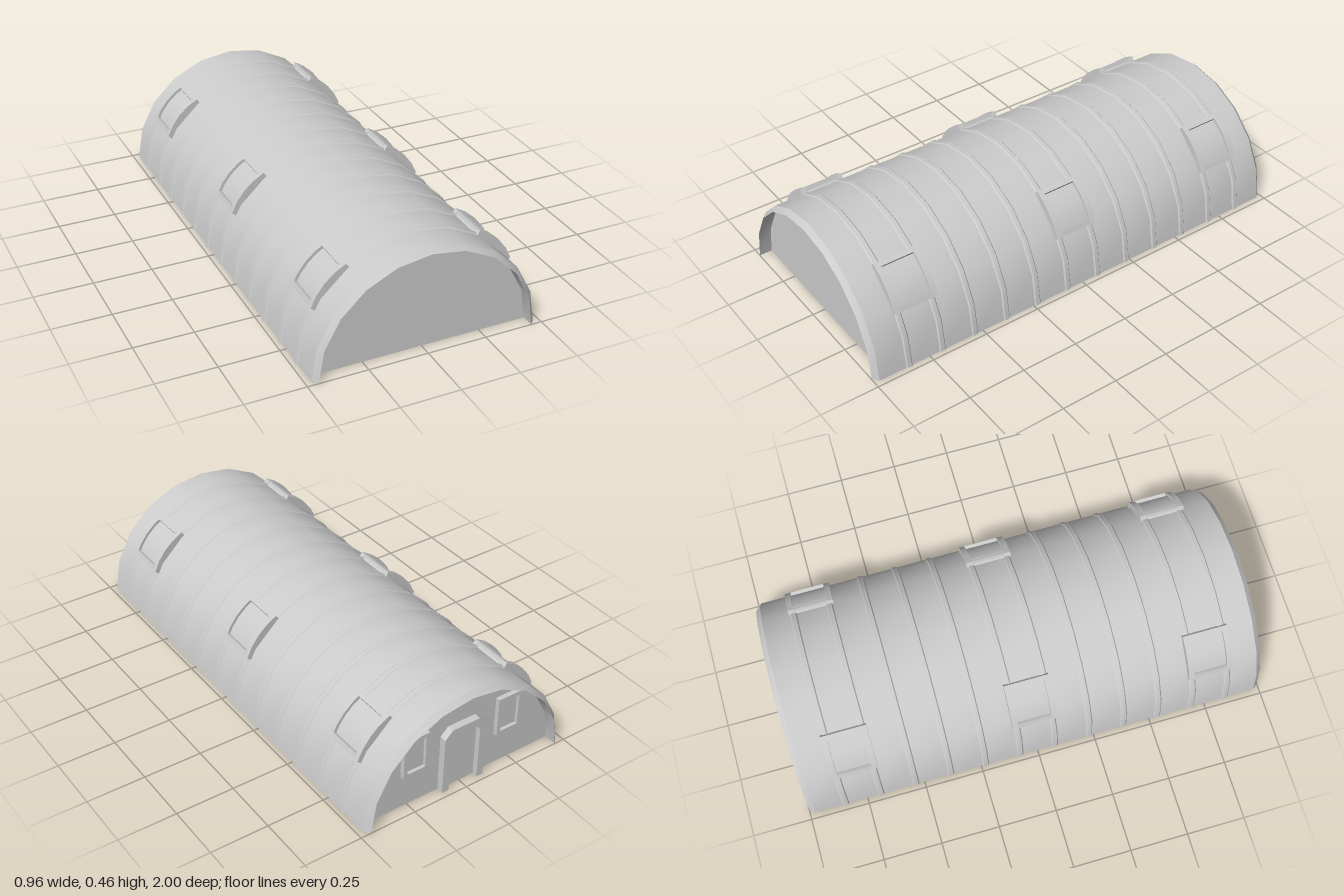
import * as THREE from 'three';
import { mergeGeometries, toCreasedNormals } from 'three/addons/utils/BufferGeometryUtils.js';

const RX = 0.475, RY = 0.456, SIDES = 10, WALL_Z = 0.945, INSET = -0.02;
const solid = new THREE.MeshStandardMaterial({ color: 0xcccccc });
const thin = new THREE.MeshStandardMaterial({ color: 0xcccccc, side: THREE.DoubleSide });

function mesh(name, geometry, material = solid) {
  const m = new THREE.Mesh(geometry, material);
  m.name = name;
  return m;
}

// point on the arched cross-section, pushed out by a given amount
function archPoint(i, offset) {
  const a = (i / SIDES) * Math.PI;
  return [(RX + offset) * Math.cos(a), Math.max(0, (RY + offset) * Math.sin(a))];
}

function polygon(points) {
  return new THREE.Shape(points.map(([x, y]) => new THREE.Vector2(x, y)));
}

function slab(shape, depth, z = 0) {
  const g = new THREE.ExtrudeGeometry(shape, { depth, bevelEnabled: false });
  g.translate(0, 0, z);
  return toCreasedNormals(g, 0.4);
}

// one strip of the shell: smooth around the arch, sharp along its length
function archStrip([o0, z0], [o1, z1]) {
  const pos = [], index = [];
  for (let i = 0; i <= SIDES; i++) {
    pos.push(...archPoint(i, o0), z0, ...archPoint(i, o1), z1);
    if (i < SIDES) {
      const a = i * 2;
      index.push(a, a + 2, a + 1, a + 2, a + 3, a + 1);
    }
  }
  const g = new THREE.BufferGeometry();
  g.setAttribute('position', new THREE.Float32BufferAttribute(pos, 3));
  g.setIndex(index);
  g.computeVertexNormals();
  return g;
}

// shell with returned, chamfered rims and twelve raised ribs
function makeShell() {
  const profile = [[INSET, -WALL_Z], [INSET, -1], [0, -0.978]];
  for (let k = 0; k < 12; k++) {
    const z = (k - 5.5) * 0.1535;
    profile.push([0, z - 0.014], [0.005, z - 0.009], [0.005, z + 0.009], [0, z + 0.014]);
  }
  profile.push([0, 0.978], [INSET, 1], [INSET, WALL_Z]);
  const strips = [];
  for (let k = 1; k < profile.length; k++) strips.push(archStrip(profile[k - 1], profile[k]));
  return mesh('archedShell', mergeGeometries(strips), thin);
}

function makeEndWall(name, z) {
  const points = [];
  for (let i = 0; i <= SIDES; i++) points.push(archPoint(i, INSET));
  const wall = mesh(name, new THREE.ShapeGeometry(polygon(points)), thin);
  if (z < 0) wall.rotation.y = Math.PI;
  wall.position.z = z;
  return wall;
}

// curved roof window: bulging frame around a sunken pane
function makeRoofWindow() {
  const group = new THREE.Group();
  group.name = 'roofWindow';
  const half = 0.096, bar = 0.024, R = 0.277, a0 = 0.354, a1 = 1.134;
  const arc = (r, from, to, n) => Array.from({ length: n + 1 }, (_, i) => {
    const a = from + ((to - from) * i) / n;
    return [0.165 + r * Math.cos(a), 0.142 + r * Math.sin(a)];
  });
  const foot = [[0.267, 0.371], [0.279, 0.366], [0.382, 0.267], [0.408, 0.222]];
  const side = polygon([...arc(R, a0, a1, 4), ...foot]);
  for (const z of [-half, half - bar]) group.add(mesh('windowFrameSide', slab(side, bar, z)));
  const inner = 2 * (half - bar), z0 = -half + bar;
  group.add(mesh('windowPane', slab(polygon([...arc(R - 0.013, a0, a1, 4), ...foot]), inner, z0)));
  const step = 0.08;
  for (const [from, to] of [[a0, a0 + step], [a1 - step, a1]]) {
    const bars = polygon([...arc(R, from, to, 1), ...arc(R - 0.02, to, from, 1)]);
    group.add(mesh('windowFrameBar', slab(bars, inner, z0)));
  }
  return group;
}

// framed window for the end wall, facing +z
function makeWallWindow() {
  const group = new THREE.Group();
  group.name = 'wallWindow';
  const rect = (w, h) => [[-w, -h], [w, -h], [w, h], [-w, h]];
  const frame = polygon(rect(0.059, 0.088));
  frame.holes.push(polygon(rect(0.042, 0.071)));
  group.add(mesh('wallWindowFrame', slab(frame, 0.02)));
  group.add(mesh('wallWindowPane', slab(polygon(rect(0.042, 0.071)), 0.006)));
  return group;
}

// doorway with clipped upper corners, facing +z
function makeDoor() {
  const group = new THREE.Group();
  group.name = 'door';
  const outline = (w, h, c) => [[w, 0], [w, h - c], [w - c, h], [c - w, h], [-w, h - c], [-w, 0]];
  const frame = polygon([...outline(0.1, 0.295, 0.035), ...outline(0.07, 0.262, 0.022).reverse()]);
  group.add(mesh('doorFrame', slab(frame, 0.03)));
  group.add(mesh('doorPanel', slab(polygon(outline(0.07, 0.262, 0.022)), 0.006)));
  return group;
}

export function createModel() {
  const model = new THREE.Group();
  model.name = 'archedHut';
  model.add(makeShell(), makeEndWall('frontWall', WALL_Z), makeEndWall('backWall', -WALL_Z));

  // three roof windows on each flank
  for (const turn of [0, Math.PI]) {
    for (const z of [-0.768, 0, 0.768]) {
      const w = makeRoofWindow();
      w.rotation.y = turn;
      w.position.z = z;
      model.add(w);
    }
  }

  // entrance on the back wall
  const entrance = new THREE.Group();
  entrance.name = 'entrance';
  entrance.add(makeDoor());
  for (const x of [-0.225, 0.225]) {
    const w = makeWallWindow();
    w.position.set(x, 0.24, 0);
    entrance.add(w);
  }
  entrance.rotation.y = Math.PI;
  entrance.position.z = -WALL_Z;
  model.add(entrance);
  return model;
}
